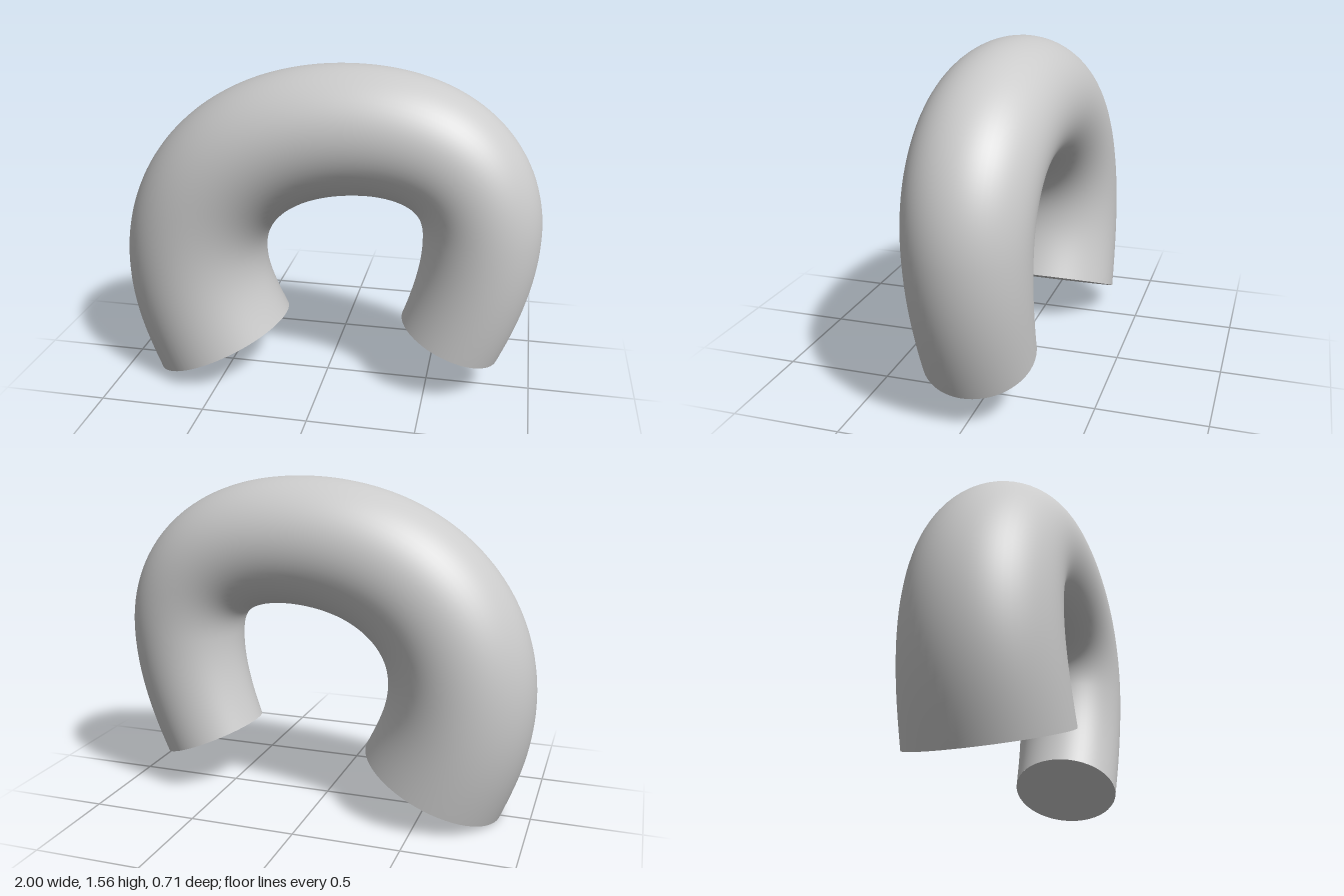
import * as THREE from 'three';

const START_RADIUS = 0.357, END_RADIUS = 0.2535;
const LENGTH_STEPS = 120, SIDES = 64;

// Centre line: smooth cubic spans, each given as x, y of its four control points
function centreLine() {
  const spans = [
    [-0.535, 0.157, -0.6, 0.3, -0.655, 0.435, -0.655, 0.6],
    [-0.655, 0.6, -0.655, 0.986, -0.325, 1.265, 0.15, 1.265],
    [0.15, 1.265, 0.51, 1.265, 0.73, 1.085, 0.73, 0.79],
    [0.73, 0.79, 0.73, 0.61, 0.676, 0.436, 0.605, 0.26],
  ];
  const path = new THREE.CurvePath();
  for (const s of spans) {
    const p = [0, 2, 4, 6].map((i) => new THREE.Vector3(s[i], s[i + 1], 0));
    path.add(new THREE.CubicBezierCurve3(...p));
  }
  return path;
}

export function createModel() {
  const group = new THREE.Group();
  group.name = 'taperedArch';
  const material = new THREE.MeshStandardMaterial({ color: 0xcccccc });
  const path = centreLine();

  // Bent body: a unit tube whose rings are scaled to a steady taper
  const tube = new THREE.TubeGeometry(path, LENGTH_STEPS, 1, SIDES, false);
  const pos = tube.attributes.position, normal = tube.attributes.normal;
  for (let i = 0; i <= LENGTH_STEPS; i++) {
    const t = i / LENGTH_STEPS;
    const centre = path.getPointAt(t);
    const r = THREE.MathUtils.lerp(START_RADIUS, END_RADIUS, t);
    for (let j = 0; j <= SIDES; j++) {
      const k = i * (SIDES + 1) + j;
      pos.setXYZ(k, centre.x + normal.getX(k) * r, centre.y + normal.getY(k) * r, normal.getZ(k) * r);
    }
  }
  const body = new THREE.Mesh(tube, material);
  body.name = 'bentBody';
  group.add(body);

  // Flat discs closing both ends, facing outwards
  const addCap = (name, t, radius, sign) => {
    const cap = new THREE.Mesh(new THREE.CircleGeometry(radius, SIDES), material);
    cap.name = name;
    cap.position.copy(path.getPointAt(t));
    const outward = path.getTangentAt(t).multiplyScalar(sign);
    cap.quaternion.setFromUnitVectors(new THREE.Vector3(0, 0, 1), outward);
    group.add(cap);
  };
  addCap('wideEndCap', 0, START_RADIUS, -1);
  addCap('narrowEndCap', 1, END_RADIUS, 1);

  return group;
}
